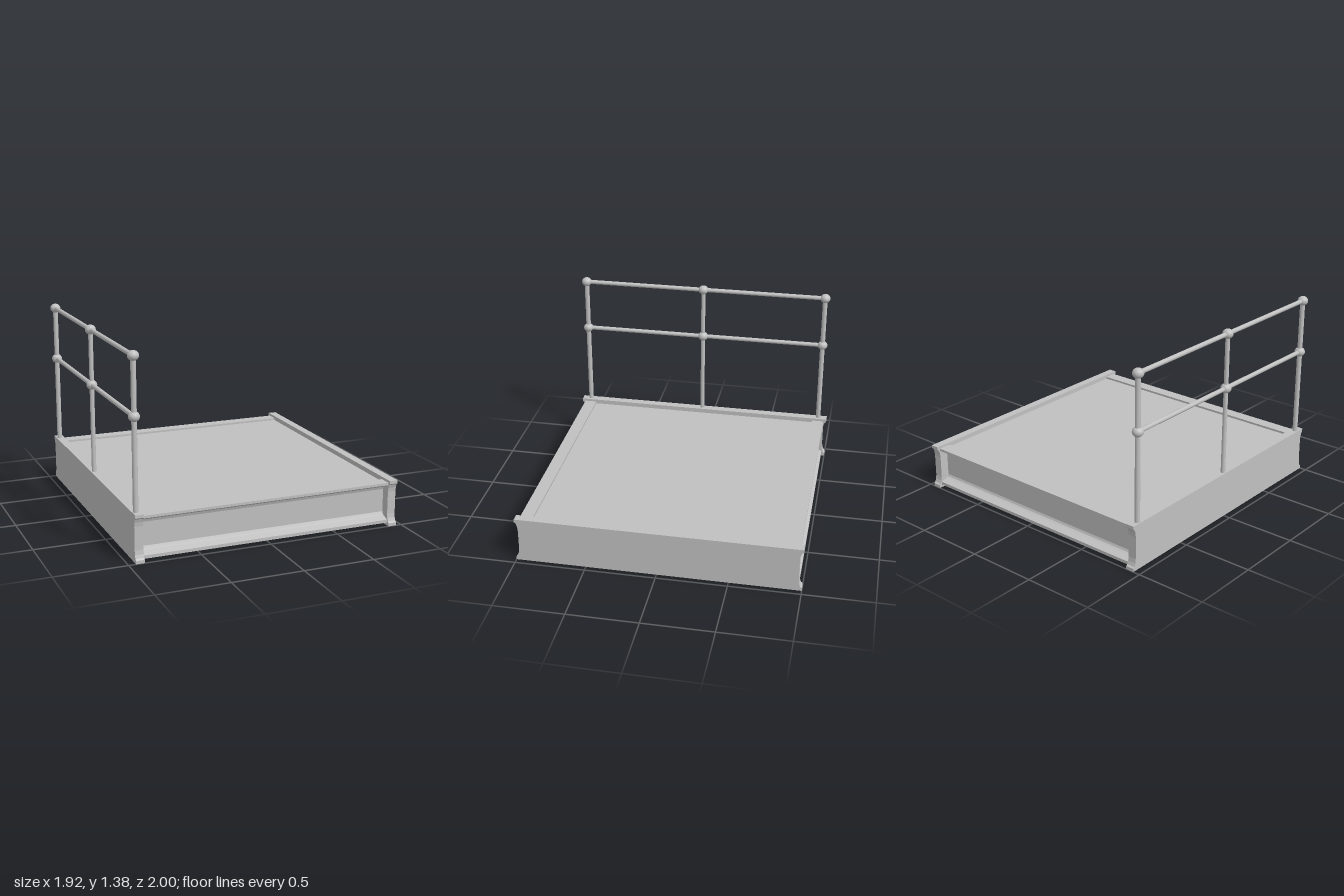
import * as THREE from 'three';

const steel = new THREE.MeshStandardMaterial({ color: 0xc0c0c0 });
steel.name = 'steel grey';

function add(parent, name, geometry, x = 0, y = 0, z = 0) {
  const mesh = new THREE.Mesh(geometry, steel);
  mesh.name = name;
  mesh.position.set(x, y, z);
  parent.add(mesh);
  return mesh;
}

// Extrudes a (z, y) profile along x, centred on x = 0
function extrudeAlongX(points, length) {
  const shape = new THREE.Shape(points.map(([z, y]) => new THREE.Vector2(z, y)));
  const geometry = new THREE.ExtrudeGeometry(shape, { depth: length, bevelEnabled: false });
  geometry.translate(0, 0, -length / 2);
  return geometry.rotateY(-Math.PI / 2);
}

export function createModel() {
  const model = new THREE.Group();
  model.name = 'railedPlatform';

  // Solid side beams with hollowed ends
  const end = [[1, 0], [1, 0.022], [0.988, 0.032], [0.98, 0.055], [0.976, 0.085],
    [0.976, 0.245], [0.98, 0.275], [0.988, 0.298], [1, 0.308], [1, 0.33]];
  const outline = [...end, ...end.map(([z, y]) => [-z, y]).reverse()];
  add(model, 'rightSideBeam', extrudeAlongX(outline, 0.06), -0.92);
  add(model, 'leftSideBeam', extrudeAlongX(outline, 0.06), 0.93);

  // Channel beams at front and back, open to the outside with tapered flanges
  const channel = [[0.887, 0.02], [0.977, 0.02], [0.977, 0.042], [0.93, 0.06], [0.917, 0.068],
    [0.91, 0.083], [0.91, 0.247], [0.917, 0.266], [0.93, 0.274], [0.977, 0.294],
    [0.977, 0.312], [0.887, 0.312]];
  const channelGeometry = extrudeAlongX(channel, 1.79);
  add(model, 'frontChannel', channelGeometry, 0.005);
  add(model, 'backChannel', channelGeometry, 0.005).rotation.y = Math.PI;

  // Deck plate set just below the channel tops
  add(model, 'deck', new THREE.BoxGeometry(1.79, 0.015, 1.776), 0.005, 0.289, 0);

  // Handrail: posts, ball joints and two rails
  const railing = new THREE.Group();
  railing.name = 'railing';
  railing.position.x = -0.925;
  model.add(railing);

  const postZ = [0.935, 0.007, -0.932];
  const railY = [0.96, 1.35];
  const ball = new THREE.SphereGeometry(0.038, 24, 16).scale(1, 0.9, 1);
  postZ.forEach((z, i) => {
    const radius = i === 1 ? 0.016 : 0.018;
    add(railing, 'post', new THREE.CylinderGeometry(radius, radius, 1.03, 20), 0, 0.835, z);
    railY.forEach((y) => add(railing, 'ballJoint', ball, 0, y, z));
  });
  const railLength = postZ[0] - postZ[2];
  const rail = new THREE.CylinderGeometry(0.016, 0.016, railLength, 20).rotateX(Math.PI / 2);
  railY.forEach((y) => add(railing, 'rail', rail, 0, y, (postZ[0] + postZ[2]) / 2));

  return model;
}
